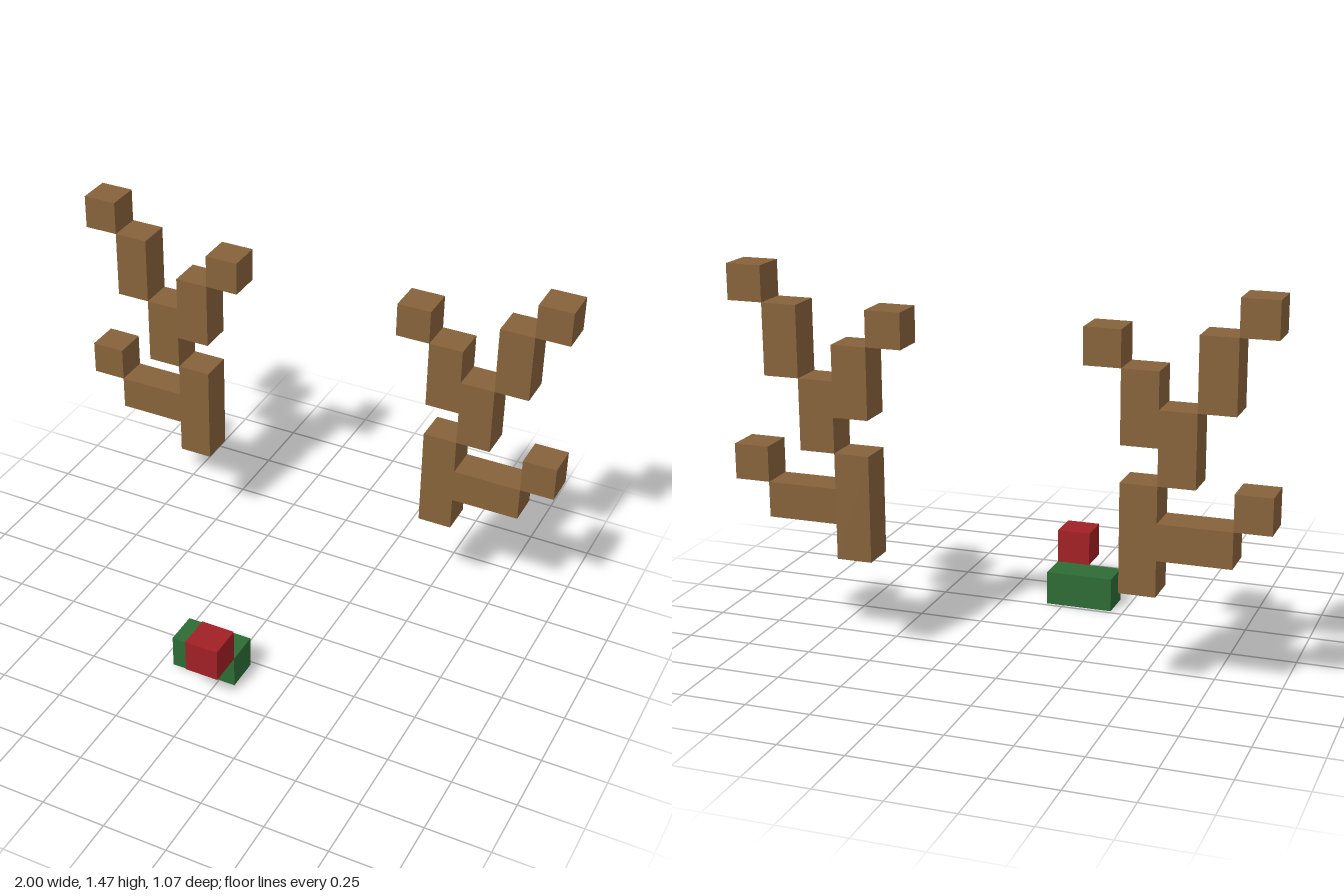
import * as THREE from 'three';

const U = 2 / 15; // one block

export function createModel() {
  const group = new THREE.Group();
  const material = (name, color) => {
    const m = new THREE.MeshStandardMaterial({ color });
    m.name = name;
    return m;
  };
  const brown = material('antler brown', 0x86623a);
  const green = material('mouth green', 0x2d6b35);
  const red = material('nose red', 0xa02024);

  // Box between two corners, measured in blocks
  const block = (parent, name, mat, [x0, y0, z0], [x1, y1, z1]) => {
    const mesh = new THREE.Mesh(
      new THREE.BoxGeometry((x1 - x0) * U, (y1 - y0) * U, (z1 - z0) * U), mat);
    mesh.position.set((x0 + x1) / 2 * U, (y0 + y1) / 2 * U, (z0 + z1) / 2 * U);
    mesh.name = name;
    parent.add(mesh);
  };

  // Antler pieces: name, x range, y range for the left side
  const pieces = [
    ['antlerBase', 3.5, 4.5, 3, 6],
    ['lowerBranch', 4.5, 6.5, 4, 5],
    ['lowerTip', 6.5, 7.5, 5, 6],
    ['antlerStem', 4.5, 5.5, 6, 8],
    ['innerBranch', 3.5, 4.5, 7, 9],
    ['innerTip', 2.5, 3.5, 9, 10],
    ['outerBranch', 5.5, 6.5, 8, 10],
    ['outerTip', 6.5, 7.5, 10, 11],
  ];
  for (const side of [1, -1]) {
    const antler = new THREE.Group();
    antler.name = side > 0 ? 'leftAntler' : 'rightAntler';
    for (const [name, a, b, y0, y1] of pieces) {
      const [x0, x1] = side > 0 ? [a, b] : [-b, -a];
      block(antler, name, brown, [x0, y0, -4], [x1, y1, -3]);
    }
    group.add(antler);
  }

  // Snout: nose block in front of and above the mouth bar
  block(group, 'mouth', green, [-1.5, 0, 2], [0.5, 1, 3]);
  block(group, 'nose', red, [-0.5, 1, 3], [0.5, 2, 4]);
  return group;
}
